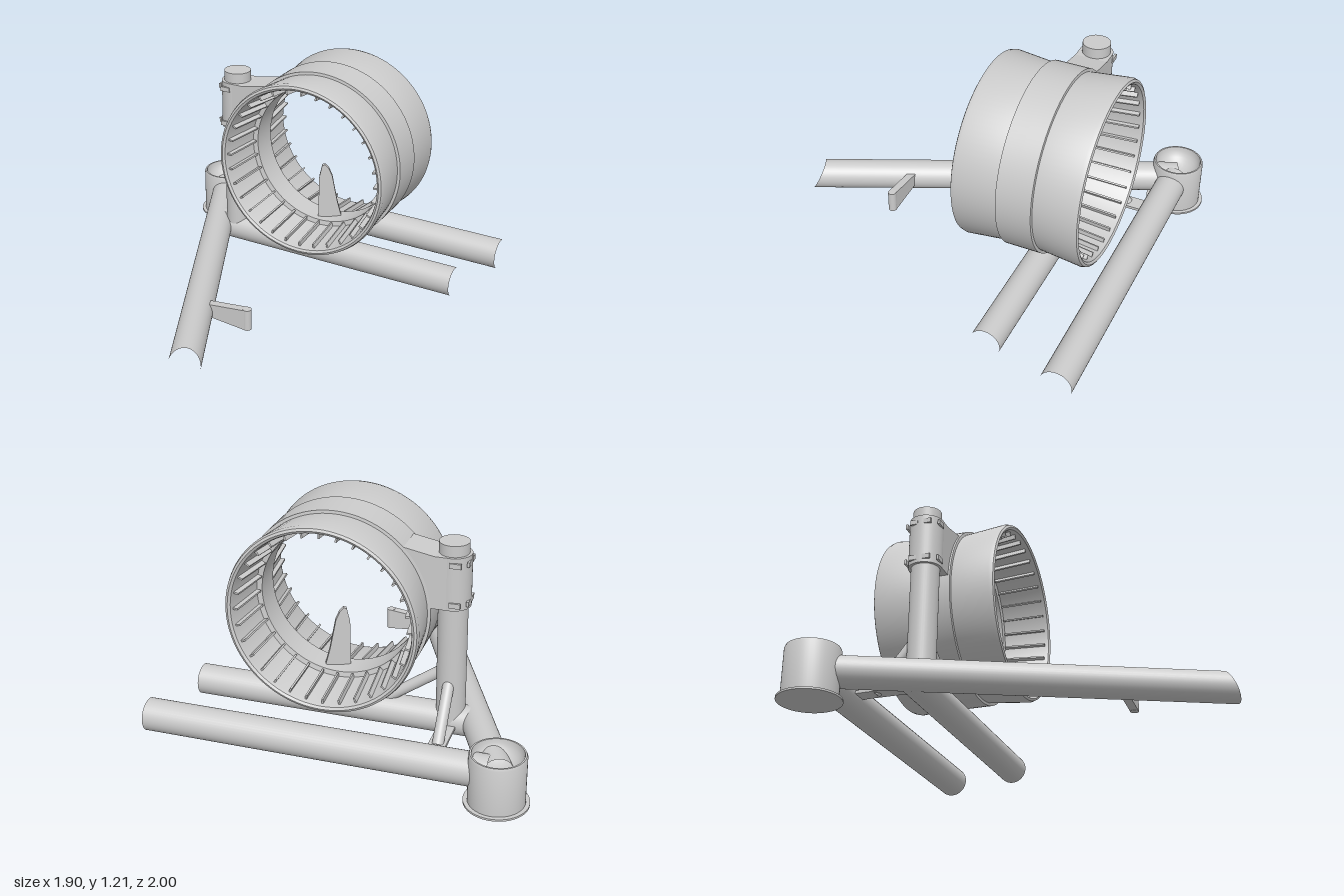
import * as THREE from 'three';
import { toCreasedNormals } from 'three/addons/utils/BufferGeometryUtils.js';

const grey = new THREE.MeshStandardMaterial({ color: 0xcccccc });

export function createModel() {
  const model = new THREE.Group();

  const add = (name, geometry, parent = model) => {
    const mesh = new THREE.Mesh(geometry, grey);
    mesh.name = name;
    parent.add(mesh);
    return mesh;
  };

  // Straight round bar from a to b; endCut slants the far end
  const bar = (name, a, b, r, open = true, endCut = 0) => {
    const from = new THREE.Vector3(...a), to = new THREE.Vector3(...b);
    const dir = to.clone().sub(from);
    const len = dir.length();
    const geo = new THREE.CylinderGeometry(r, r, len, 40, 1, open);
    const mesh = add(name, geo);
    mesh.position.copy(from).add(to).multiplyScalar(0.5);
    // local z points along the bar, local y stays as upright as possible
    geo.rotateX(Math.PI / 2);
    mesh.lookAt(mesh.position.clone().add(dir));
    const p = geo.attributes.position;
    for (let i = 0; i < p.count; i++) {
      if (p.getZ(i) > 0) p.setZ(i, p.getZ(i) - endCut * p.getY(i));
    }
    return mesh;
  };

  const lathe = (pts, segments) => toCreasedNormals(
    new THREE.LatheGeometry(pts.map(([x, y]) => new THREE.Vector2(x, y)), segments), 0.5);

  // Flat part drawn in x and y, centred on z
  const plate = (pts, thickness) => {
    const shape = new THREE.Shape(pts.map(([x, y]) => new THREE.Vector2(x, y)));
    const geo = new THREE.ExtrudeGeometry(shape, { depth: thickness, bevelEnabled: false });
    return geo.translate(0, 0, -thickness / 2);
  };

  // Corner socket with flange and dished top
  const socketProfile = [[0, 0], [0.155, 0], [0.155, 0.01], [0.135, 0.01], [0.135, 0.25], [0.13, 0.262], [0.122, 0.262]];
  for (let i = 1; i <= 8; i++) {
    const a = i / 8 * Math.PI / 2;
    socketProfile.push([0.122 * Math.cos(a), 0.262 - 0.1 * Math.sin(a)]);
  }
  add('cornerSocket', lathe(socketProfile, 48)).position.set(-0.8, 0, -0.845);

  // Frame tubes
  bar('backTube', [-0.76, 0.15, -0.84], [0.95, 0.15, -0.84], 0.081);
  bar('middleTube', [-0.6, 0.15, -0.435], [0.845, 0.15, -0.435], 0.077);
  bar('diagonalTube', [-0.8, 0.15, -0.845], [0.055, 0.17, 0.955], 0.079, true, 0.5);

  // Upright post and its two braces
  bar('post', [-0.473, 0.13, -0.44], [-0.473, 1.095, -0.44], 0.072, false);
  bar('sideBrace', [-0.44, 0.42, -0.435], [-0.1, 0.18, -0.435], 0.028, false);
  bar('backBrace', [-0.473, 0.4, -0.47], [-0.473, 0.14, -0.675], 0.028, false);
  add('bracePlate', new THREE.BoxGeometry(0.085, 0.015, 0.29)).position.set(-0.473, 0.143, -0.63);

  // Clamp that holds the ring on the post
  const clamp = new THREE.Group();
  clamp.name = 'clamp';
  clamp.position.z = -0.44;
  model.add(clamp);
  add('clampSleeve', new THREE.CylinderGeometry(0.086, 0.086, 0.265, 40), clamp).position.set(-0.473, 0.9075, 0);
  add('clampArm', plate([[-0.473, 0.775], [-0.365, 0.775], [-0.34, 0.85], [-0.26, 1.0],
    [-0.24, 1.07], [-0.4, 1.04], [-0.473, 1.04]], 0.17), clamp);
  for (const y of [0.805, 1.005]) {
    for (const side of [-1, 1]) {
      add('clampBolt', new THREE.BoxGeometry(0.055, 0.025, 0.012), clamp).position.set(-0.5, y, side * 0.086);
      add('clampBolt', new THREE.BoxGeometry(0.012, 0.025, 0.04), clamp).position.set(-0.553, y, side * 0.035);
    }
  }

  // Ring duct: waisted outside, flared mouths inside
  const duct = new THREE.Group();
  duct.name = 'duct';
  duct.position.set(0.08, 0.74, -0.435);
  model.add(duct);
  const half = [[0.385, 0], [0.385, 0.07], [0.41, 0.075], [0.437, 0.3], [0.443, 0.318], [0.455, 0.326],
    [0.467, 0.32], [0.473, 0.3], [0.452, 0.092], [0.467, 0.09], [0.467, 0]];
  const profile = [
    ...half.map(([r, z]) => [r, -z]),
    ...half.slice(0, -1).reverse(),
  ];
  add('ductShell', lathe(profile, 96).rotateX(Math.PI / 2), duct);

  // Slats inside both mouths
  const slat = new THREE.BoxGeometry(0.03, 0.009, 0.225);
  const slats = 32;
  for (let i = 0; i < slats; i++) {
    const spoke = new THREE.Group();
    spoke.name = 'slatPair';
    spoke.rotation.z = i / slats * Math.PI * 2;
    duct.add(spoke);
    for (const side of [-1, 1]) {
      const mesh = add('slat', slat, spoke);
      mesh.position.set(0.415, 0, side * 0.19);
      mesh.rotation.y = side * 0.12;
    }
  }

  // Fin standing inside the ring
  const fin = add('fin', plate([[-0.067, 0.33], [0.067, 0.33], [0.035, 0.45], [0.005, 0.6], [-0.015, 0.645],
    [-0.035, 0.665], [-0.05, 0.66], [-0.065, 0.59]], 0.022));
  fin.position.set(0.11, 0, -0.435);
  fin.rotation.y = 0.45;

  // Small lug on the diagonal tube
  add('lugPlate', plate([[-0.16, 0.145], [0.108, 0.125], [0.108, 0.238], [-0.16, 0.205]], 0.042)).position.z = 0.462;
  bar('lugEnd', [0.108, 0.125, 0.462], [0.108, 0.238, 0.462], 0.022, false);

  return model;
}
